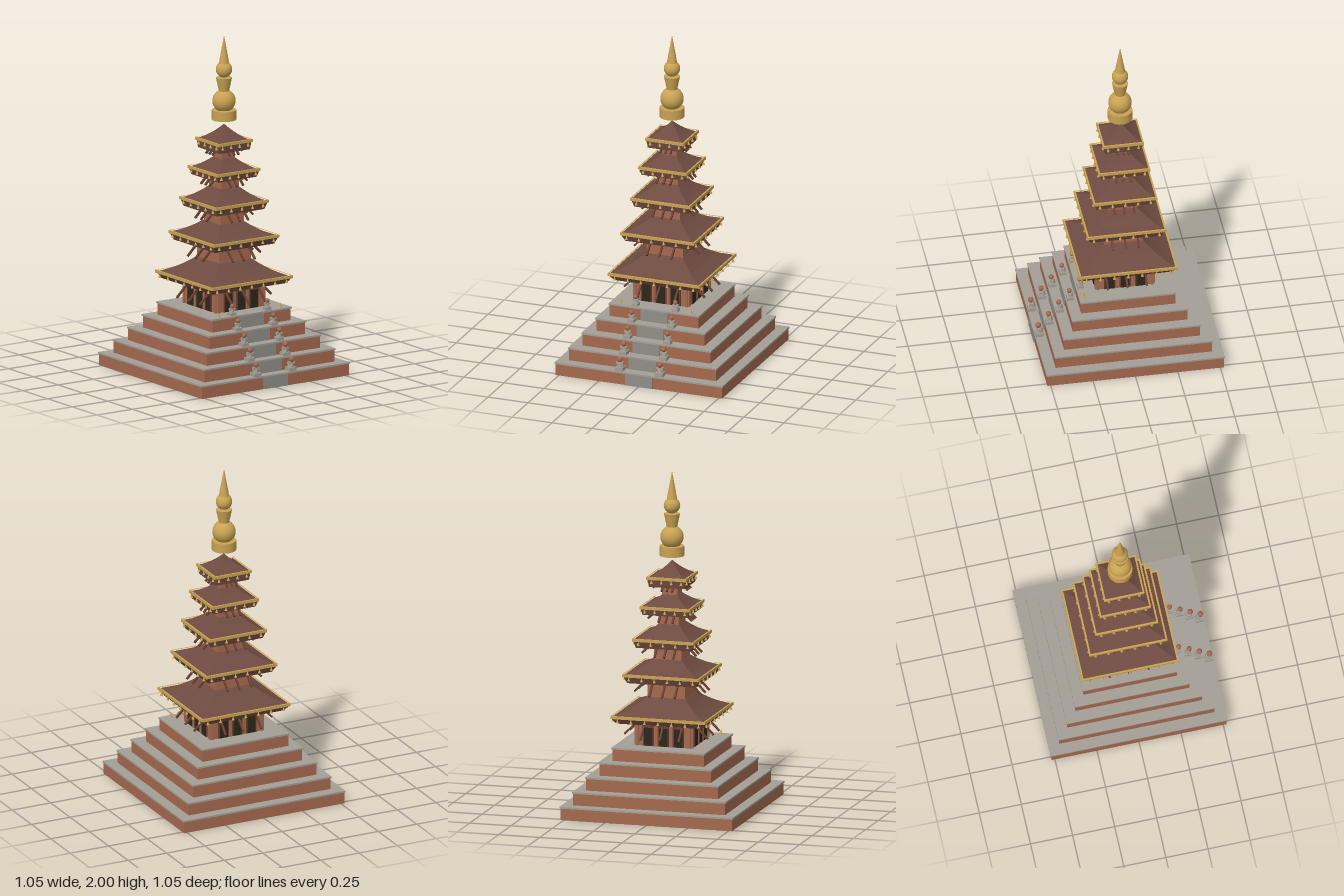
import * as THREE from 'three';

const mat = (name, color) => Object.assign(new THREE.MeshStandardMaterial({ color }), { name });

export function createModel() {
  const brick = mat('brick', 0xa5694f), stone = mat('stone', 0xa39f96), stair = mat('stair stone', 0x908e87);
  const tile = mat('roof tile', 0x6e4b41), gold = mat('gold', 0xc9a353);
  const wood = mat('wood', 0x6b4030), dark = mat('dark opening', 0x2b261c);
  const root = new THREE.Group();
  root.name = 'pagoda';

  const group = (name, parent = root) => {
    const g = new THREE.Group();
    g.name = name;
    parent.add(g);
    return g;
  };
  const add = (parent, name, geo, material, x = 0, y = 0, z = 0) => {
    const m = new THREE.Mesh(geo, material);
    m.name = name;
    m.position.set(x, y, z);
    parent.add(m);
    return m;
  };
  const box = (w, h, d) => new THREE.BoxGeometry(w, h, d);
  // square-plan solid from [half width, y] pairs listed upward
  const square = (pts) => {
    const g = new THREE.LatheGeometry(
      pts.map(([r, y]) => new THREE.Vector2(r * Math.SQRT2, y)), 4, Math.PI / 4).toNonIndexed();
    g.computeVertexNormals();
    return g;
  };

  // stepped base with stone ledges and a central stair
  const base = group('base');
  const step = 0.079;
  const halves = [0.525, 0.465, 0.405, 0.343, 0.283];
  halves.forEach((h, i) => {
    const y = i * step, b = (h - 0.005) * 2;
    add(base, 'brickTerrace', box(b, step - 0.01, b), brick, 0, y + (step - 0.01) / 2);
    add(base, 'stoneLedge', box(h * 2, 0.01, h * 2), stone, 0, y + step - 0.005);
    add(base, 'stairRiser', box(0.17, step - 0.01, 0.008), stair, 0, y + (step - 0.01) / 2, h - 0.004);
  });

  // guardian statues flanking the stair
  halves.forEach((h, i) => {
    for (const x of [-0.125, 0.125]) {
      const s = group('guardian');
      s.position.set(x, (i + 1) * step, h - 0.027);
      s.scale.setScalar(1 - i * 0.05);
      add(s, 'pedestal', box(0.048, 0.022, 0.048), stone, 0, 0.011);
      add(s, 'body', new THREE.CylinderGeometry(0.013, 0.02, 0.036, 10), stone, 0, 0.04, -0.002);
      add(s, 'arms', box(0.044, 0.014, 0.018), stone, 0, 0.046, 0.002);
      add(s, 'head', new THREE.SphereGeometry(0.017, 12, 8), brick, 0, 0.069, 0.006);
    }
  });

  // small lamps at the front of the top terrace
  for (const x of [-0.22, 0.22])
    add(root, 'lamp', new THREE.ConeGeometry(0.011, 0.028, 8), gold, x, 5 * step + 0.014, 0.255);

  // storeys: wall half width, floor, eave underside, gold edge, eave half width, roof top, top half width
  const storeys = [
    { wall: 0.17, floor: 0.395, under: 0.535, edge: 0.575, eave: 0.287, top: 0.672, neck: 0.118, drop: 0.09, bells: 7 },
    { wall: 0.113, floor: 0.66, under: 0.768, edge: 0.815, eave: 0.232, top: 0.894, neck: 0.086, drop: 0.075, bells: 6 },
    { wall: 0.084, floor: 0.88, under: 0.972, edge: 1.02, eave: 0.187, top: 1.1, neck: 0.064, drop: 0.052, bells: 5 },
    { wall: 0.062, floor: 1.09, under: 1.163, edge: 1.207, eave: 0.152, top: 1.272, neck: 0.047, drop: 0.04, bells: 5 },
    { wall: 0.046, floor: 1.26, under: 1.325, edge: 1.378, eave: 0.12, top: 1.47, neck: 0.001, drop: 0.022, bells: 4 },
  ];
  storeys.forEach((t, i) => {
    const g = group('storey' + (i + 1));
    const wallH = t.under - t.floor + 0.02;
    add(g, 'wall', box(t.wall * 2, wallH, t.wall * 2), brick, 0, t.floor + wallH / 2);

    // curved roof, closed underneath
    const rise = t.top - t.edge, span = t.eave - t.neck;
    const pts = [[0.001, t.under + 0.004], [t.eave * 0.9, t.under], [t.eave - 0.006, t.edge - 0.008]];
    for (let k = 0; k <= 6; k++) {
      const u = k / 6;
      pts.push([t.eave - 0.004 - (span - 0.004) * u, t.edge + rise * (0.5 * u + 0.5 * u * u)]);
    }
    pts.push([0.0005, t.top]);
    add(g, 'roof', square(pts), tile);
    add(g, 'goldEdge', square([[t.eave - 0.01, t.edge - 0.009], [t.eave, t.edge - 0.009],
      [t.eave, t.edge + 0.008], [t.eave - 0.01, t.edge + 0.008]]), gold);

    // the four sides
    for (let k = 0; k < 4; k++) {
      const side = group('side', g);
      side.rotation.y = k * Math.PI / 2;
      for (let j = 0; j < t.bells; j++) {
        const x = ((j + 0.5) / t.bells * 2 - 1) * t.eave;
        add(side, 'bell', new THREE.ConeGeometry(0.009, 0.024, 8), gold, x, t.edge - 0.019, t.eave - 0.004);
      }
      const len = t.drop * 1.41 + 0.03;
      for (const f of [-0.68, 0, 0.68]) {
        const strut = add(side, 'strut', box(0.011, len, 0.011), wood,
          f * t.wall, t.under - t.drop + len * 0.354, t.eave * 0.88 - len * 0.354);
        strut.rotation.x = -Math.PI / 4;
      }
      // doorways and posts on the ground storey
      if (i === 0) {
        for (const x of [-0.09, 0, 0.09]) {
          add(side, 'doorFrame', box(0.066, 0.118, 0.006), wood, x, t.floor + 0.059, t.wall + 0.002);
          add(side, 'doorway', box(0.05, 0.106, 0.006), dark, x, t.floor + 0.055, t.wall + 0.005);
        }
        for (const x of [-0.16, -0.045, 0.045, 0.16])
          add(side, 'post', box(0.014, 0.14, 0.014), brick, x, t.floor + 0.07, t.wall);
      }
    }
  });

  // golden finial
  const spire = group('spire');
  add(spire, 'drum', new THREE.CylinderGeometry(0.072, 0.072, 0.058, 24), gold, 0, 1.526);
  add(spire, 'largeBall', new THREE.SphereGeometry(0.068, 24, 16), gold, 0, 1.608);
  add(spire, 'flare', new THREE.CylinderGeometry(0.047, 0.03, 0.082, 24), gold, 0, 1.706);
  add(spire, 'smallBall', new THREE.SphereGeometry(0.048, 24, 16), gold, 0, 1.795);
  add(spire, 'tip', new THREE.ConeGeometry(0.031, 0.172, 24), gold, 0, 1.914);
  return root;
}
